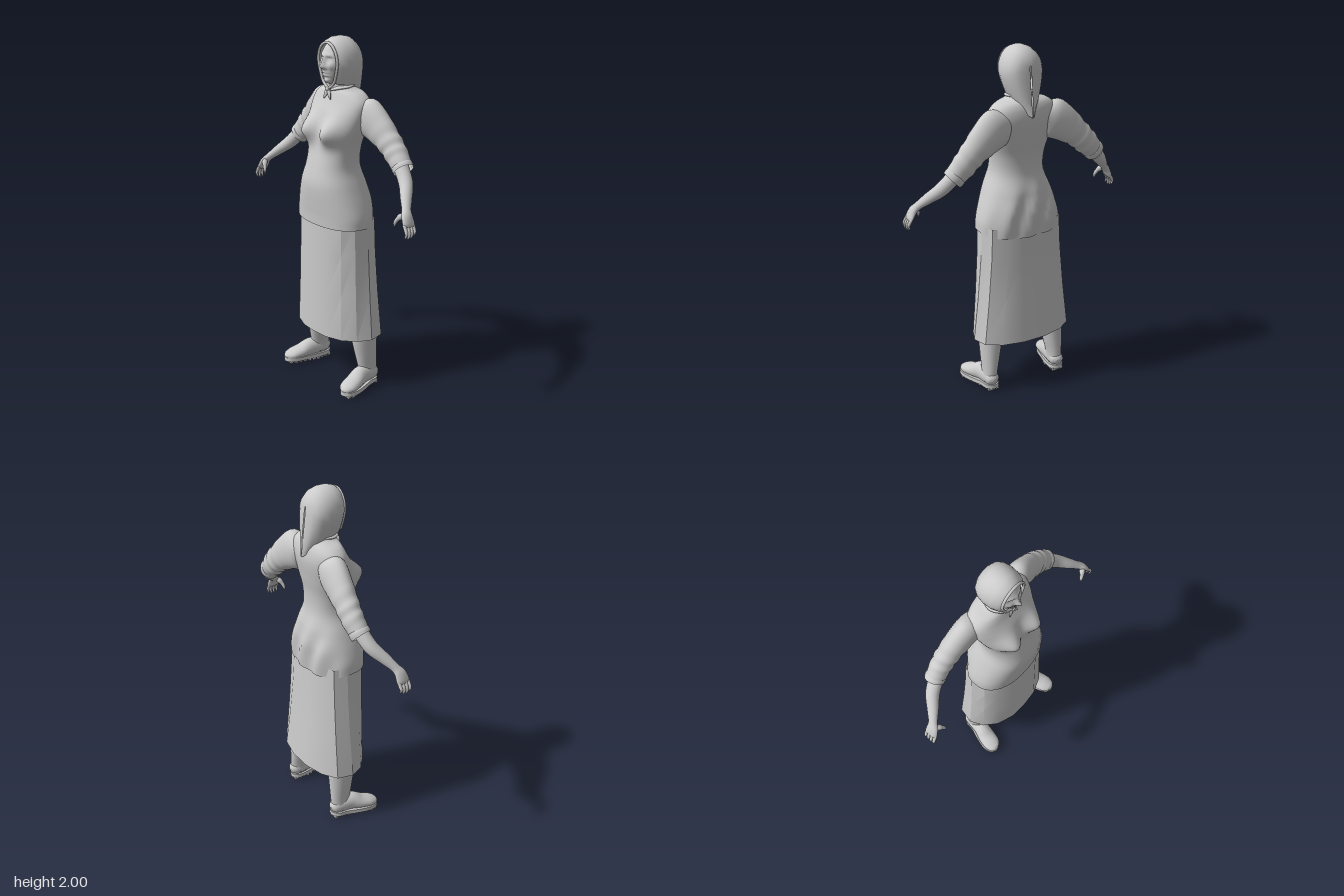
import * as THREE from 'three';
import { toCreasedNormals } from 'three/addons/utils/BufferGeometryUtils.js';

const V = (x, y, z) => new THREE.Vector3(x, y, z);
const bump = (...d) => Math.exp(-d.reduce((s, v) => s + v * v, 0));
const spow = (v, p) => Math.sign(v) * Math.pow(Math.abs(v), p);
const material = new THREE.MeshStandardMaterial({ color: 0xcccccc, side: THREE.DoubleSide });

// Skin a list of point rings
function loft(rings, closed = true) {
  const n = rings[0].length, idx = [];
  for (let i = 0; i < rings.length - 1; i++) {
    for (let j = 0; j < (closed ? n : n - 1); j++) {
      const k = (j + 1) % n, a = i * n + j, b = i * n + k;
      idx.push(a, b, b + n, a, b + n, a + n);
    }
  }
  const g = new THREE.BufferGeometry().setFromPoints(rings.flat());
  g.setIndex(idx);
  g.computeVertexNormals();
  return g;
}

// Smoothly resample rows of numbers
function smooth(rows, steps) {
  const part = (o) => new THREE.CatmullRomCurve3(rows.map((r) => V(r[o], r[o + 1] ?? 0, r[o + 2] ?? 0)));
  const p = part(0), q = part(3);
  return Array.from({ length: steps + 1 }, (_, i) => [...p.getPoint(i / steps).toArray(), ...q.getPoint(i / steps).toArray()]);
}

// Tapered limb; rows are x, y, z, radius across, radius along ref
function limb(rows, { steps = 24, sides = 20, ref = V(0, 0, 1), capEnd = true, ripple = () => 0 } = {}) {
  const s = smooth(rows, steps), pts = s.map((r) => V(r[0], r[1], r[2]));
  const rings = pts.map((c, i) => {
    const T = pts[Math.min(i + 1, steps)].clone().sub(pts[Math.max(i - 1, 0)]).normalize();
    const W = ref.clone().addScaledVector(T, -ref.dot(T)).normalize();
    const U = W.clone().cross(T);
    return Array.from({ length: sides }, (_, j) => {
      const a = (j / sides) * Math.PI * 2, k = 1 + ripple(i / steps, a);
      return c.clone().addScaledVector(U, Math.cos(a) * s[i][3] * k).addScaledVector(W, Math.sin(a) * s[i][4] * k);
    });
  });
  rings.unshift(rings[0].map(() => pts[0].clone()));
  if (capEnd) rings.push(rings[0].map(() => pts[steps].clone()));
  return loft(rings);
}

function mirrored(geo) {
  const g = geo.index ? geo.toNonIndexed() : geo.clone();
  g.scale(-1, 1, 1);
  for (const a of Object.values(g.attributes)) {
    for (let i = 0; i < a.count; i += 3) {
      for (let c = 0; c < a.itemSize; c++) {
        const t = a.getComponent(i + 1, c);
        a.setComponent(i + 1, c, a.getComponent(i + 2, c));
        a.setComponent(i + 2, c, t);
      }
    }
  }
  return g;
}

export function createModel() {
  const model = new THREE.Group();
  model.name = 'womanInHeadscarf';
  const add = (name, geo) => {
    const m = new THREE.Mesh(geo, material);
    m.name = name;
    model.add(m);
  };
  const pair = (name, geo) => {
    add(name + 'Left', geo);
    add(name + 'Right', mirrored(geo));
  };

  // Blouse: height, half width, front z, back z
  const body = [
    [0.975, 0.25, 0, 0.172, -0.148], [1.03, 0.245, 0, 0.175, -0.152], [1.1, 0.225, 0, 0.182, -0.152],
    [1.2, 0.188, 0, 0.188, -0.135], [1.3, 0.152, 0, 0.168, -0.108], [1.4, 0.155, 0, 0.14, -0.108],
    [1.5, 0.182, 0, 0.12, -0.125], [1.6, 0.2, 0, 0.092, -0.14], [1.66, 0.195, 0, 0.062, -0.135],
    [1.7, 0.155, 0, 0.045, -0.12], [1.725, 0.085, 0, 0.035, -0.095], [1.745, 0.066, 0, 0.035, -0.08],
  ];
  add('blouse', loft(smooth(body, 66).map(([y, w, , f, b]) => Array.from({ length: 64 }, (_, j) => {
    const a = (j / 64) * Math.PI * 2, c = Math.cos(a);
    const x = w * spow(Math.sin(a), 0.88);
    let z = (f + b) / 2 + ((f - b) / 2) * spow(c, 0.88);
    if (c > 0) z += 0.068 * bump((Math.abs(x) - 0.088) / 0.06, (y - 1.5) / 0.068);
    else z += 0.012 * c * Math.cos(x * 45 + y * 12) * bump((y - 1.06) / 0.13);
    return V(x, y + 0.03 * Math.min(0, c) * bump((y - 0.97) / 0.06), z);
  }))));

  // Panelled skirt, half outlines mirrored around the front
  const waist = [[0, 0.166], [0.1, 0.157], [0.18, 0.12], [0.228, 0.06], [0.243, -0.02], [0.215, -0.09], [0.13, -0.125], [0.05, -0.132]];
  const hem = [[0, 0.172], [0.1, 0.165], [0.195, 0.13], [0.262, 0.07], [0.298, -0.01], [0.275, -0.1], [0.19, -0.155], [0.07, -0.183]];
  const skirtRing = ([y, t]) => {
    const half = waist.map((p, i) => V(THREE.MathUtils.lerp(p[0], hem[i][0], t), y, THREE.MathUtils.lerp(p[1], hem[i][1], t)));
    return [...half, ...half.slice(1).reverse().map((p) => V(-p.x, p.y, p.z))];
  };
  add('skirt', toCreasedNormals(loft([[0.315, 1], [0.58, 0.5], [0.82, 0.15], [1.01, 0]].map(skirtRing)), 0.45));

  // Sleeves with soft folds and an open cuff
  pair('sleeve', limb([
    [0.11, 1.61, -0.06, 0.06, 0.06], [0.18, 1.58, -0.07, 0.112, 0.07], [0.25, 1.535, -0.08, 0.098, 0.067],
    [0.33, 1.47, -0.088, 0.077, 0.062], [0.39, 1.41, -0.09, 0.07, 0.058], [0.447, 1.35, -0.083, 0.056, 0.052],
  ], { steps: 40, sides: 28, capEnd: false, ripple: (t, a) => 0.045 * Math.sin(t * 42 + 1.2 * Math.sin(a)) * bump((t - 0.68) / 0.18) }));
  pair('cuff', limb([
    [0.428, 1.37, -0.086, 0.058, 0.054], [0.438, 1.36, -0.085, 0.062, 0.057], [0.452, 1.346, -0.082, 0.06, 0.055],
  ], { steps: 6, sides: 28, capEnd: false }));

  // Forearms and hands
  pair('forearm', limb([
    [0.41, 1.39, -0.085, 0.042, 0.042], [0.5, 1.295, -0.055, 0.038, 0.039], [0.56, 1.235, -0.005, 0.029, 0.032],
    [0.602, 1.192, 0.03, 0.021, 0.026], [0.625, 1.165, 0.045, 0.019, 0.034], [0.643, 1.13, 0.05, 0.015, 0.039],
    [0.65, 1.115, 0.052, 0.009, 0.034],
  ], { steps: 32 }));
  for (let i = 0; i < 4; i++) {
    const z = 0.023 + i * 0.019, drop = [0.012, 0.002, 0, 0.008][i];
    pair('finger' + (i + 1), limb([
      [0.642, 1.13, z, 0.009, 0.01], [0.659, 1.1, z + 0.002, 0.0095, 0.0095],
      [0.664, 1.077 + drop, z + 0.003, 0.0085, 0.008], [0.655, 1.056 + drop, z + 0.004, 0.004, 0.004],
    ], { steps: 10, sides: 10 }));
  }
  pair('thumb', limb([
    [0.615, 1.178, 0.055, 0.012, 0.012], [0.592, 1.155, 0.075, 0.012, 0.012],
    [0.577, 1.13, 0.084, 0.01, 0.01], [0.574, 1.108, 0.087, 0.004, 0.004],
  ], { steps: 10, sides: 10 }));

  // Boots: shaft, foot, sole and tread
  pair('bootShaft', limb([
    [0.18, 0.52, -0.03, 0.075, 0.082], [0.203, 0.32, -0.03, 0.066, 0.081], [0.213, 0.2, -0.038, 0.053, 0.07],
    [0.22, 0.11, -0.045, 0.042, 0.06], [0.222, 0.05, -0.045, 0.042, 0.055],
  ]));
  pair('bootFoot', limb([
    [0.218, 0.058, -0.108, 0.018, 0.02], [0.22, 0.064, -0.09, 0.038, 0.04], [0.224, 0.072, -0.04, 0.045, 0.054],
    [0.234, 0.075, 0.02, 0.047, 0.055], [0.25, 0.06, 0.08, 0.053, 0.04], [0.262, 0.051, 0.13, 0.052, 0.032],
    [0.27, 0.045, 0.165, 0.036, 0.022], [0.272, 0.043, 0.18, 0.012, 0.008],
  ], { ref: V(0, 1, 0), steps: 32 }));
  const soleOutline = [[0.218, 0.108], [0.182, 0.085], [0.18, 0.02], [0.196, -0.06], [0.213, -0.13], [0.24, -0.172],
    [0.272, -0.182], [0.307, -0.16], [0.316, -0.11], [0.298, -0.04], [0.272, 0.03], [0.26, 0.085]];
  const curve = new THREE.CatmullRomCurve3(soleOutline.map(([x, z]) => V(x, z, 0)), true);
  const sole = new THREE.ExtrudeGeometry(new THREE.Shape(curve.getPoints(48).map((p) => new THREE.Vector2(p.x, p.y))), { depth: 0.025, bevelEnabled: false });
  sole.rotateX(-Math.PI / 2).translate(0, 0.014, 0);
  pair('bootSole', toCreasedNormals(sole, 0.7));
  for (let i = 0; i < 10; i++) {
    const z = -0.088 + i * 0.027;
    const bar = new THREE.BoxGeometry(i > 2 && i < 9 ? 0.086 : 0.068, 0.018, 0.015);
    pair('tread' + (i + 1), bar.translate(0.22 + 0.05 * THREE.MathUtils.smoothstep(z, -0.05, 0.16), 0.009, z));
  }

  // Neck and head with modelled face
  add('neck', limb([[0, 1.69, -0.03, 0.056, 0.056], [0, 1.75, -0.02, 0.05, 0.052], [0, 1.82, -0.01, 0.055, 0.06]], { steps: 8 }));
  const head = new THREE.SphereGeometry(1, 72, 60);
  const p = head.attributes.position;
  for (let i = 0; i < p.count; i++) {
    const low = Math.max(0, -p.getY(i));
    const x = p.getX(i) * 0.083 * (1 - 0.22 * low), y = 1.862 + p.getY(i) * 0.122, ax = Math.abs(x);
    let z = p.getZ(i) * 0.088 + 0.004;
    if (z > 0.01) {
      z += 0.022 * low * low
        + 0.017 * bump(x / 0.01, (y - 1.872) / 0.03) + 0.02 * bump(x / 0.014, (y - 1.848) / 0.014)
        + 0.007 * bump((ax - 0.014) / 0.008, (y - 1.843) / 0.009)
        - 0.014 * bump((ax - 0.03) / 0.016, (y - 1.886) / 0.012) + 0.009 * bump((ax - 0.03) / 0.011, (y - 1.884) / 0.006)
        + 0.006 * bump((ax - 0.028) / 0.025, (y - 1.908) / 0.009) + 0.008 * bump((ax - 0.043) / 0.016, (y - 1.85) / 0.018)
        + 0.008 * bump(x / 0.022, (y - 1.806) / 0.014) - 0.008 * bump(x / 0.026, (y - 1.807) / 0.004)
        - 0.005 * bump(x / 0.025, (y - 1.786) / 0.007) + 0.012 * bump(x / 0.025, (y - 1.765) / 0.016);
    }
    p.setXYZ(i, x, y, z);
  }
  head.computeVertexNormals();
  add('head', head);

  // Headscarf: arches from the face opening back to the hanging point
  // top z, bottom z, top y, middle y, bottom y, half width, bottom half width
  const arch = ([zt, zb, yt, ym, yb, w, wb]) => Array.from({ length: 41 }, (_, i) => {
    const t = (i - 20) / 20, s = Math.abs(t);
    const q = Math.max(0, (s - 0.6) / 0.4), a = Math.min(s / 0.6, 1) * Math.PI / 2;
    const y = q > 0 ? ym + (yb - ym) * q : ym + (yt - ym) * Math.cos(a);
    const x = q > 0 ? w + (wb - w) * Math.pow(q, 1.5) : w * Math.sin(a);
    return V(Math.sign(t) * x, y, zb + (zt - zb) * ((y - yb) / (yt - yb)));
  });
  const arches = [
    [0.068, 0.062, 1.972, 1.87, 1.76, 0.08, 0.048], [0.05, 0.04, 1.987, 1.865, 1.75, 0.098, 0.064],
    [0.015, 0.0, 1.999, 1.86, 1.745, 0.109, 0.078], [-0.03, -0.045, 2.0, 1.86, 1.73, 0.112, 0.074],
    [-0.07, -0.09, 1.99, 1.865, 1.695, 0.104, 0.056], [-0.1, -0.128, 1.965, 1.87, 1.655, 0.084, 0.03],
    [-0.118, -0.148, 1.935, 1.87, 1.635, 0.054, 0.012], [-0.126, -0.157, 1.91, 1.86, 1.63, 0.004, 0.002],
  ].map(arch);
  add('headscarf', toCreasedNormals(loft(arches, false), 0.6));

  // Scarf border tied under the chin
  const border = [...arches[0].filter((_, i) => i % 2 === 0), V(0.022, 1.737, 0.062), V(0, 1.727, 0.064), V(-0.022, 1.737, 0.062)];
  add('scarfBorder', new THREE.TubeGeometry(new THREE.CatmullRomCurve3(border, true), 90, 0.008, 8, true));
  add('scarfKnot', new THREE.SphereGeometry(0.014, 16, 12).translate(0, 1.722, 0.064));
  pair('scarfEnd', limb([[0.002, 1.722, 0.064, 0.007, 0.006], [0.014, 1.698, 0.068, 0.014, 0.006], [0.026, 1.668, 0.07, 0.003, 0.003]],
    { steps: 8, sides: 8 }));

  // Folded collar flaps
  pair('collar', limb([[0.004, 1.713, 0.046, 0.006, 0.006], [0.042, 1.728, 0.034, 0.018, 0.008],
    [0.074, 1.735, -0.02, 0.016, 0.008], [0.05, 1.74, -0.075, 0.012, 0.008], [0, 1.742, -0.092, 0.012, 0.008]],
  { steps: 20, sides: 10, ref: V(0, 1, 0.3) }));
  return model;
}
